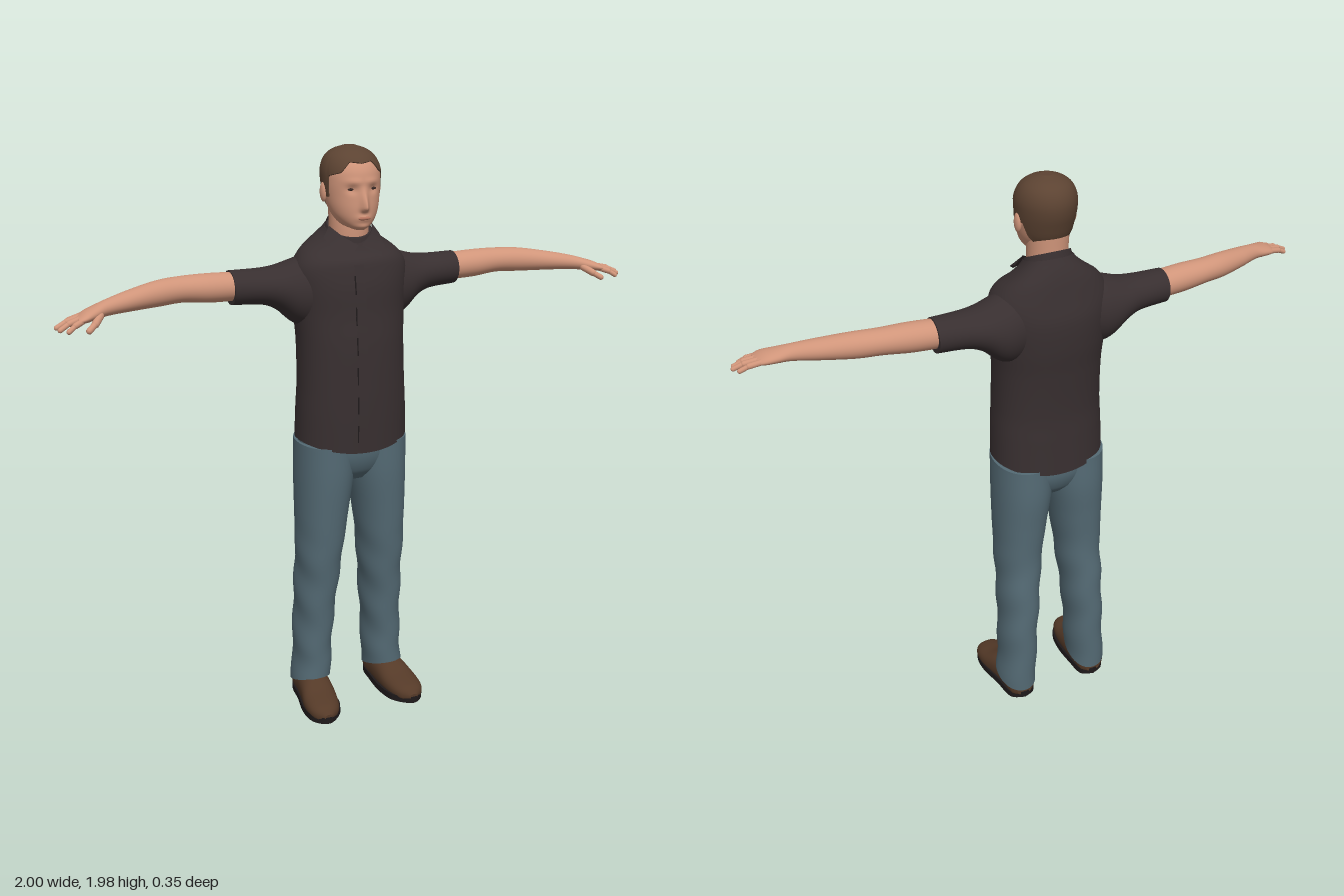
import * as THREE from 'three';

const mat = (name, color, side = THREE.FrontSide) => {
  const m = new THREE.MeshStandardMaterial({ color, side });
  m.name = name;
  return m;
};
const { smoothstep } = THREE.MathUtils;
const bump = (d, s) => Math.exp(-(d * d) / (s * s));

// Smooth interpolation of table rows keyed by their first column
function sample(rows, t) {
  let i = 0;
  while (i < rows.length - 2 && t > rows[i + 1][0]) i++;
  const slope = (k, c) => {
    const a = rows[Math.max(k - 1, 0)], b = rows[Math.min(k + 1, rows.length - 1)];
    return (b[c] - a[c]) / (b[0] - a[0]);
  };
  const p = rows[i], q = rows[i + 1], h = q[0] - p[0], s = (t - p[0]) / h;
  return p.slice(1).map((_, k) => {
    const c = k + 1, s2 = s * s, s3 = s2 * s;
    return (2 * s3 - 3 * s2 + 1) * p[c] + (s3 - 2 * s2 + s) * h * slope(i, c)
      + (3 * s2 - 2 * s3) * q[c] + (s3 - s2) * h * slope(i + 1, c);
  });
}

// Closed rings of points, with optional end caps; faces are turned outward
function rings(point, nu, nv, caps = true) {
  const pos = [], idx = [];
  for (let j = 0; j <= nv; j++)
    for (let i = 0; i < nu; i++) pos.push(...point((i / nu) * Math.PI * 2, j / nv));
  for (let j = 0; j < nv; j++)
    for (let i = 0; i < nu; i++) {
      const a = j * nu + i, b = j * nu + (i + 1) % nu;
      idx.push(a, b, a + nu, b, b + nu, a + nu);
    }
  if (caps) for (const j of [0, nv]) {
    const base = pos.length / 3, mid = [0, 0, 0];
    for (let i = 0; i < nu; i++)
      for (let k = 0; k < 3; k++) {
        const v = pos[(j * nu + i) * 3 + k];
        pos.push(v);
        mid[k] += v / nu;
      }
    pos.push(...mid);
    for (let i = 0; i < nu; i++) {
      const a = base + i, b = base + (i + 1) % nu;
      if (j) idx.push(a, b, base + nu); else idx.push(b, a, base + nu);
    }
  }
  const g = new THREE.BufferGeometry();
  g.setAttribute('position', new THREE.Float32BufferAttribute(pos, 3));
  g.setIndex(idx);
  g.computeBoundingSphere();
  const c = g.boundingSphere.center;
  const v = k => new THREE.Vector3().fromArray(pos, k * 3).sub(c);
  let volume = 0;
  for (let i = 0; i < idx.length; i += 3) volume += v(idx[i]).dot(v(idx[i + 1]).cross(v(idx[i + 2])));
  if (volume < 0) flip(g);
  g.computeVertexNormals();
  return g;
}

function flip(g) {
  const a = g.index ? Array.from(g.index.array) : [...Array(g.attributes.position.count).keys()];
  for (let i = 0; i < a.length; i += 3) [a[i], a[i + 1]] = [a[i + 1], a[i]];
  g.setIndex(a);
}

// Loft along an axis; rows are [position, centre 1, centre 2, radius 1, radius 2]
function loft(axis, rows, { nu = 40, nv = 40, e = 2, caps = true, warp = p => p } = {}) {
  const t0 = rows[0][0], t1 = rows[rows.length - 1][0];
  const power = v => Math.sign(v) * Math.abs(v) ** (2 / e);
  return rings((a, v) => {
    const t = t0 + (t1 - t0) * v, [c1, c2, r1, r2] = sample(rows, t);
    const p = c1 + r1 * power(Math.cos(a)), q = c2 + r2 * power(Math.sin(a));
    return warp(axis === 'x' ? [t, p, q] : axis === 'y' ? [p, t, q] : [p, q, t]);
  }, nu, nv, caps);
}

// Open strip or flap from pairs of points
function strip(pairs) {
  const g = new THREE.BufferGeometry(), idx = [];
  g.setAttribute('position', new THREE.Float32BufferAttribute(pairs.flat(2), 3));
  for (let i = 0; i < pairs.length - 1; i++) {
    const a = i * 2;
    idx.push(a, a + 1, a + 2, a + 1, a + 3, a + 2);
  }
  g.setIndex(idx);
  g.computeVertexNormals();
  return g;
}

// Rounded rod between two points
function rod(a, b, r) {
  const A = new THREE.Vector3(...a), B = new THREE.Vector3(...b), d = B.clone().sub(A);
  const q = new THREE.Quaternion().setFromUnitVectors(new THREE.Vector3(0, 1, 0), d.clone().normalize());
  return new THREE.CapsuleGeometry(r, d.length(), 5, 12).applyQuaternion(q)
    .translate(...A.add(B).multiplyScalar(0.5).toArray());
}

const ball = (x, y, z, rx, ry, rz) => new THREE.SphereGeometry(1, 20, 14).scale(rx, ry, rz).translate(x, y, z);

// Head surface: [y, front z, back z, half width]
const skull = [
  [1.722, 0.08, 0.02, 0.018], [1.735, 0.09, -0.03, 0.046], [1.76, 0.095, -0.06, 0.068],
  [1.79, 0.097, -0.085, 0.081], [1.83, 0.095, -0.1, 0.089], [1.87, 0.095, -0.112, 0.093],
  [1.91, 0.088, -0.114, 0.092], [1.945, 0.065, -0.1, 0.077], [1.966, 0.033, -0.073, 0.05], [1.977, -0.005, -0.035, 0.016]];

function headPoint(a, y, grow = 0) {
  const [f, b, w] = sample(skull, y), mid = (f + b) / 2;
  const x = (w + grow) * Math.sin(a);
  let z = mid + ((f - b) / 2 + grow) * Math.cos(a);
  if (Math.cos(a) > 0) {
    const ax = Math.abs(x);
    z += 0.026 * bump(x, 0.012) * smoothstep(y, 1.775, 1.795) * (1 - smoothstep(y, 1.795, 1.87))
      - 0.008 * bump(ax - 0.036, 0.017) * bump(y - 1.852, 0.013)
      + 0.004 * bump(ax - 0.03, 0.03) * bump(y - 1.876, 0.01)
      + 0.007 * bump(x, 0.024) * bump(y - 1.76, 0.012) + 0.005 * bump(x, 0.022) * bump(y - 1.735, 0.01);
  }
  return [x, y, z];
}

// Hairline height by angle from the front
const hairline = [[0, 1.933], [0.45, 1.938], [0.75, 1.906], [1.25, 1.893], [1.36, 1.825],
  [1.72, 1.822], [1.85, 1.85], [2.1, 1.8], [2.4, 1.775], [Math.PI, 1.768]];
function hairlineAt(a) {
  const t = Math.min(a, Math.PI * 2 - a);
  const i = Math.max(1, hairline.findIndex(h => h[0] >= t - 1e-9));
  const [p, q] = [hairline[i - 1], hairline[i]];
  return p[1] + (q[1] - p[1]) * (t - p[0]) / (q[0] - p[0]);
}

export function createModel() {
  const skin = mat('skin', 0xd0957a), hair = mat('hair', 0x5c4332, THREE.DoubleSide);
  const shirt = mat('shirt cloth', 0x382f30, THREE.DoubleSide), denim = mat('trouser cloth', 0x546a74);
  const leather = mat('shoe leather', 0x553a28), dark = mat('dark trim', 0x1f1a1b, THREE.DoubleSide);
  const lip = mat('lips', 0xb5755f), eye = mat('eyes', 0x3a2a26);
  const model = new THREE.Group();
  model.name = 'standingMan';
  const add = (name, geo, material) => {
    const m = new THREE.Mesh(geo, material);
    m.name = name;
    model.add(m);
  };
  const pair = (name, geo, material) => {
    const other = geo.clone().scale(-1, 1, 1);
    flip(other);
    add('left' + name, geo, material);
    add('right' + name, other, material);
  };

  // Head, hair and face
  add('head', rings((a, v) => headPoint(a, 1.722 + 0.255 * (0.5 - 0.5 * Math.cos(Math.PI * v))), 112, 72), skin);
  add('hair', rings((a, v) => {
    const y0 = hairlineAt(a);
    return headPoint(a, y0 + (1.977 - y0) * (1 - (1 - v) ** 2), 0.004).map((c, k) => k === 1 ? c + 0.003 * v : c);
  }, 120, 24), hair);
  add('neck', loft('y', [[1.6, 0, -0.035, 0.07, 0.07], [1.68, 0, -0.027, 0.066, 0.068],
    [1.74, 0, -0.025, 0.066, 0.066], [1.8, 0, -0.03, 0.068, 0.062]]), skin);
  pair('Ear', ball(0.094, 1.838, -0.012, 0.011, 0.032, 0.018), skin);
  pair('Eye', ball(0.036, 1.853, headPoint(0.4, 1.853)[2] - 0.001, 0.014, 0.0045, 0.004), eye);
  add('mouth', ball(0, 1.762, headPoint(0, 1.762)[2] - 0.004, 0.022, 0.006, 0.006), lip);

  // Shirt body
  const torso = [[0.98, 0, -0.015, 0.195, 0.145], [1.1, 0, -0.012, 0.191, 0.143], [1.2, 0, -0.011, 0.186, 0.141],
    [1.35, 0, -0.018, 0.184, 0.143], [1.45, 0, -0.028, 0.19, 0.143], [1.54, 0, -0.031, 0.198, 0.14],
    [1.6, 0, -0.03, 0.195, 0.127], [1.645, 0, -0.028, 0.165, 0.112], [1.675, 0, -0.03, 0.122, 0.094],
    [1.7, 0, -0.03, 0.09, 0.079], [1.715, 0, -0.03, 0.079, 0.071]];
  add('shirtBody', loft('y', torso, {
    nu: 72, nv: 70, e: 2.25,
    warp: ([x, y, z]) => [x, y + 0.032 * (x / 0.195) ** 2 * (1 - smoothstep(y, 0.98, 1.3))
      - (z + 0.03) * 0.3 * smoothstep(y, 1.6, 1.7), z],
  }), shirt);
  pair('Sleeve', loft('x', [[0.08, 1.525, -0.035, 0.115, 0.1], [0.16, 1.515, -0.045, 0.116, 0.103],
    [0.2, 1.517, -0.05, 0.102, 0.097], [0.25, 1.532, -0.054, 0.073, 0.083], [0.3, 1.54, -0.055, 0.06, 0.07],
    [0.405, 1.544, -0.057, 0.056, 0.058]]), shirt);

  // Front placket with its dark edge
  const front = (x, y, lift) => {
    const [, cz, , rz] = sample(torso, y);
    return [x, y, cz + rz + lift];
  };
  const ys = [...Array(25).keys()].map(i => 0.99 + i * 0.026);
  add('placket', strip(ys.map(y => [front(-0.035, y, 0.001), front(0, y, 0.002)])), shirt);
  for (let k = 0; k < 6; k++)
    add('placketEdge', strip([0, 1, 2].map(i => 1.02 + k * 0.1 + i * 0.03)
      .map(y => [front(-0.037, y, 0), front(-0.033, y, 0.002)])), dark);

  // Collar band and folded points
  add('collarBand', loft('y', [[1.675, 0, -0.024, 0.09, 0.083], [1.7, 0, -0.024, 0.082, 0.076], [1.722, 0, -0.024, 0.074, 0.071]],
    { caps: false, nv: 6, warp: ([x, y, z]) => [x, y - (z + 0.02) * 0.48, z] }), shirt);
  pair('CollarPoint', strip([[[0.076, 1.727, -0.01], [0.1, 1.692, 0.0]], [[0.052, 1.7, 0.04], [0.09, 1.662, 0.062]],
    [[0.006, 1.67, 0.066], [0.06, 1.634, 0.1]]]), shirt);

  // Arms run into the palms
  pair('Arm', loft('x', [[0.36, 1.547, -0.057, 0.046, 0.049], [0.48, 1.552, -0.05, 0.047, 0.049],
    [0.57, 1.557, -0.045, 0.042, 0.045], [0.65, 1.555, -0.028, 0.041, 0.044], [0.75, 1.549, 0.006, 0.033, 0.039],
    [0.83, 1.542, 0.037, 0.025, 0.032], [0.87, 1.535, 0.053, 0.021, 0.039], [0.905, 1.528, 0.068, 0.017, 0.043],
    [0.93, 1.522, 0.076, 0.009, 0.035]], { nv: 60 }), skin);

  // Fingers: knuckle, joint, tip
  const fingers = [
    [[0.915, 1.526, 0.042], [0.95, 1.518, 0.05], [0.978, 1.505, 0.056]],
    [[0.92, 1.527, 0.061], [0.96, 1.519, 0.07], [0.992, 1.505, 0.078]],
    [[0.92, 1.526, 0.08], [0.957, 1.517, 0.092], [0.986, 1.502, 0.1]],
    [[0.913, 1.524, 0.097], [0.943, 1.514, 0.113], [0.965, 1.5, 0.122]],
    [[0.86, 1.528, 0.078], [0.882, 1.512, 0.107], [0.905, 1.497, 0.123]]];
  fingers.forEach(([a, b, c], i) => {
    const name = i === 4 ? 'Thumb' : 'Finger', r = i === 4 ? 0.012 : 0.0095;
    pair(name + 'Base', rod(a, b, r), skin);
    pair(name + 'Tip', rod(b, c, r * 0.83), skin);
  });

  // Trousers
  add('trouserSeat', loft('y', [[0.86, 0, -0.02, 0.09, 0.07], [0.9, 0, -0.02, 0.15, 0.105],
    [0.96, 0, -0.02, 0.185, 0.126], [1.06, 0, -0.016, 0.183, 0.128]]), denim);
  pair('TrouserLeg', loft('y', [[0.07, 0.143, -0.053, 0.068, 0.088], [0.18, 0.138, -0.053, 0.066, 0.09],
    [0.3, 0.133, -0.05, 0.067, 0.094], [0.45, 0.125, -0.04, 0.072, 0.1], [0.6, 0.117, -0.025, 0.079, 0.105],
    [0.75, 0.108, -0.022, 0.089, 0.117], [0.88, 0.099, -0.022, 0.098, 0.128], [1.0, 0.096, -0.02, 0.099, 0.129]], {
    nv: 60, e: 2.15,
    warp: ([x, y, z]) => [x + 0.003 * Math.sin(y * 34 + z * 18) * (1 - smoothstep(y, 0.5, 0.75)),
      y + (z + 0.05) * 0.35 * (1 - smoothstep(y, 0.07, 0.25)), z],
  }), denim);

  // Shoes
  pair('Shoe', loft('z', [[-0.132, 0.145, 0.04, 0.03, 0.03], [-0.115, 0.145, 0.045, 0.048, 0.05],
    [-0.04, 0.147, 0.05, 0.055, 0.06], [0.02, 0.152, 0.045, 0.06, 0.058], [0.08, 0.16, 0.035, 0.063, 0.043],
    [0.13, 0.165, 0.03, 0.056, 0.034], [0.16, 0.167, 0.027, 0.04, 0.026], [0.177, 0.168, 0.024, 0.014, 0.01]],
    { e: 2.3, warp: ([x, y, z]) => [x, Math.max(y, 0.015), z] }), leather);
  const outline = [[0.145, -0.137], [0.1, -0.115], [0.09, -0.04], [0.087, 0.05], [0.105, 0.13], [0.165, 0.18],
    [0.215, 0.145], [0.224, 0.07], [0.207, -0.02], [0.193, -0.11]].map(p => new THREE.Vector2(...p));
  const curve = new THREE.SplineCurve([...outline, outline[0]]);
  pair('Sole', new THREE.ExtrudeGeometry(new THREE.Shape(curve.getPoints(48)), { depth: 0.024, bevelEnabled: false })
    .rotateX(Math.PI / 2).translate(0, 0.024, 0), dark);
  return model;
}
